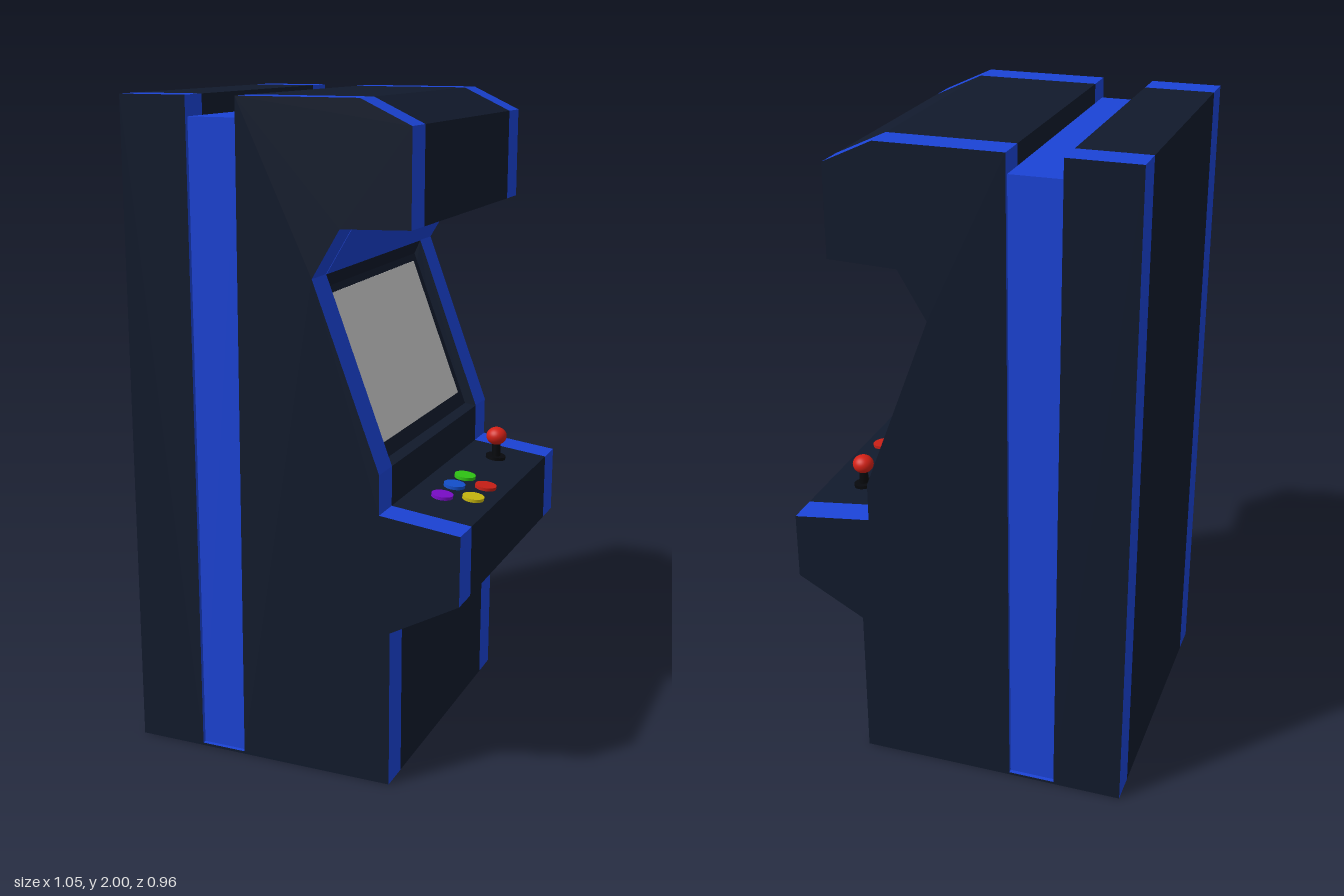
import * as THREE from 'three';

const material = (color) => new THREE.MeshStandardMaterial({ color });
const HALF = 0.478; // half width of the cabinet
const INNER = 0.38; // where the edge trim meets the centre body

// Front outline of the cabinet, from the bottom up to the screen
const LOWER = [[0.315, 0], [0.315, 0.485], [0.525, 0.6], [0.525, 0.81], [0.28, 0.84], [0.28, 0.96]];
// Hood outline, from the top of the screen to the roof
const UPPER = [[0.075, 1.505], [0.16, 1.648], [0.37, 1.655], [0.37, 1.93], [0.22, 2]];
// Slot for the band that wraps the cabinet
const slot = (floor) => {
  const front = -0.167 + 0.006 * floor;
  return [[-0.155, 2], [front, floor], [-0.312, floor], [-0.312, 2]];
};
const BACK = [[-0.525, 2], [-0.525, 0]];

export function createModel() {
  const group = new THREE.Group();
  group.name = 'arcadeCabinet';
  const dark = material(0x111a2c);
  const blue = material(0x1b43d6);
  const black = material(0x07090d);
  const red = material(0xd22015);

  const add = (name, geometry, mat, x = 0, y = 0, z = 0, parent = group) => {
    const mesh = new THREE.Mesh(geometry, mat);
    mesh.name = name;
    mesh.position.set(x, y, z);
    parent.add(mesh);
    return mesh;
  };

  // Extrudes a side outline between two z positions
  const slab = (name, points, z0, z1, mat) => {
    const shape = new THREE.Shape(points.map(([x, y]) => new THREE.Vector2(x, y)));
    const geometry = new THREE.ExtrudeGeometry(shape, { depth: z1 - z0, bevelEnabled: false });
    return add(name, geometry, mat, 0, 0, z0);
  };

  // Centre body, with the screen bezel set back between the side panels
  const bezel = [[0.242, 0.965], [0.055, 1.46]];
  slab('body', [...LOWER, ...bezel, ...UPPER, ...slot(1.93), ...BACK], -INNER, INNER, dark);

  // Side panels: dark faces with blue edges
  const sideOutline = [...LOWER, ...UPPER, ...slot(0.008), ...BACK];
  slab('leftSidePanel', sideOutline, INNER, HALF, [dark, blue]);
  slab('rightSidePanel', sideOutline, -HALF, -INNER, [dark, blue]);

  // Band running up both sides and over the roof, slightly sunken
  const bandOutline = [[-0.312, 0.008], [-0.167, 0.008], [-0.155, 1.94], [-0.312, 1.94]];
  slab('wrapBand', bandOutline, -0.465, 0.465, blue);

  // Blue strip under the hood
  slab('hoodStrip', [[0.076, 1.504], [0.161, 1.647], [0.14, 1.647], [0.07, 1.53]], -INNER, INNER, blue);

  // Screen lying on the sloped bezel
  const slope = Math.atan2(0.187, 0.495);
  const screen = add('screen', new THREE.BoxGeometry(0.012, 0.46, 0.67), material(0xcccccc), 0.146, 1.225, 0.003);
  screen.rotation.z = slope;

  // Control panel: everything on it tilts with the panel
  const panel = new THREE.Group();
  panel.name = 'controls';
  panel.position.set(0.28, 0.84, 0);
  panel.rotation.z = Math.atan2(-0.03, 0.245);
  group.add(panel);

  const buttons = [
    ['greenButton', 0x2fc414, 0.095, 0],
    ['blueButton', 0x1450cc, 0.095, 0.1],
    ['purpleButton', 0x7a0cc8, 0.095, 0.21],
    ['redButton', 0xc81f16, 0.178, 0.045],
    ['yellowButton', 0xc8b70e, 0.178, 0.165],
  ];
  for (const [name, color, x, z] of buttons) {
    add(name, new THREE.CylinderGeometry(0.033, 0.033, 0.016, 32), material(color), x, 0.002, z, panel);
  }

  // Joystick
  add('joystickBase', new THREE.CylinderGeometry(0.032, 0.032, 0.016, 32), black, 0.115, 0.002, -0.25, panel);
  add('joystickShaft', new THREE.CylinderGeometry(0.014, 0.014, 0.07, 24), black, 0.396, 0.857, -0.25);
  const ball = add('joystickBall', new THREE.SphereGeometry(0.033, 32, 20), red, 0.396, 0.901, -0.25);
  ball.scale.y = 0.88;

  return group;
}
